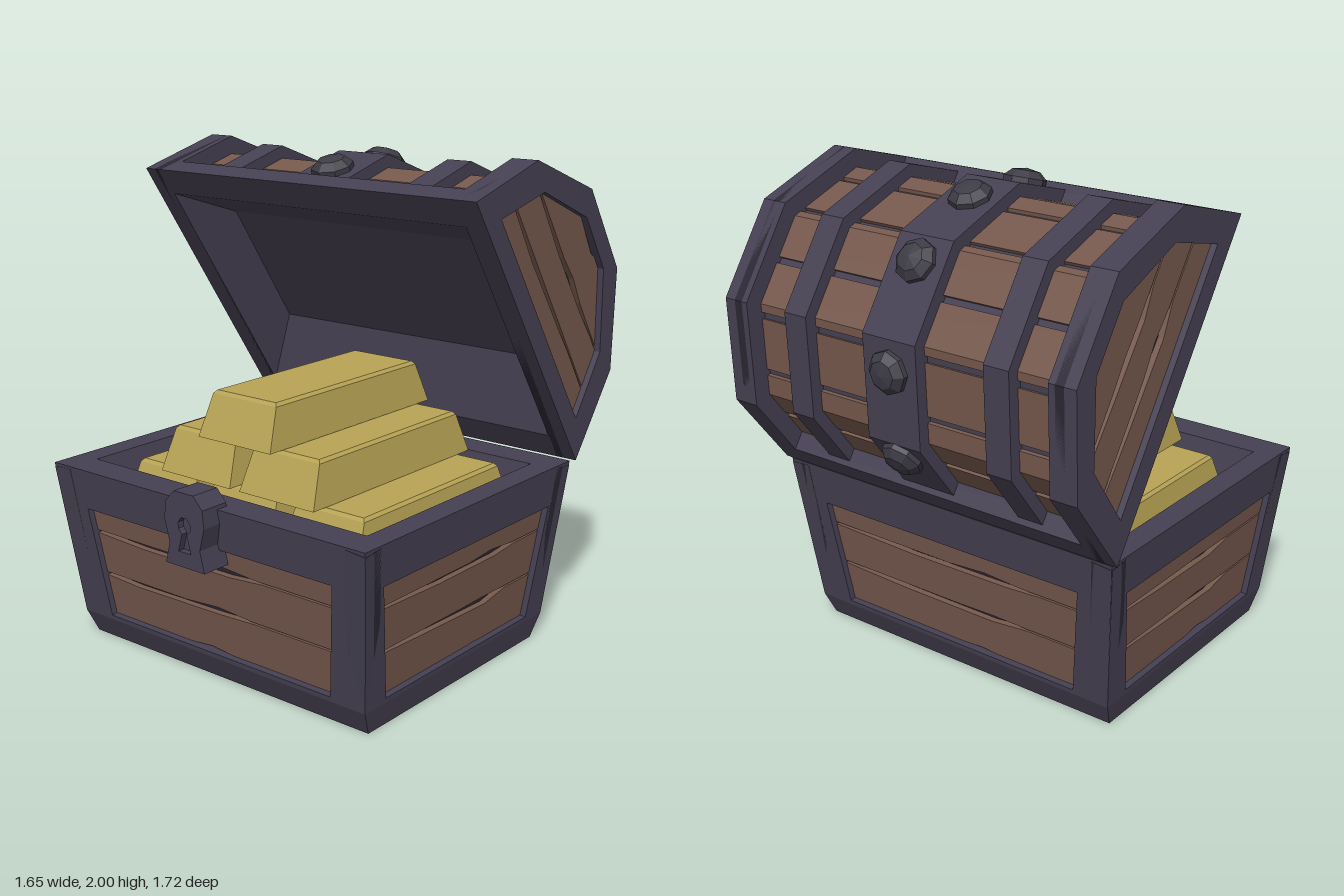
import * as THREE from 'three';

const paint = (color, extra = {}) => {
  const m = new THREE.MeshStandardMaterial({ color, flatShading: true, ...extra });
  return m;
};
const IRON = paint(0x454052), WOOD = paint(0x75584c), GOLD = paint(0xb8a455);
const STUD = paint(0x3d3b45), DARK = paint(0x2a2733);

let seed = 7;
const rand = () => (seed = (seed * 16807) % 2147483647) / 2147483647;
const lerp = THREE.MathUtils.lerp;

function add(parent, name, geometry, material) {
  const mesh = new THREE.Mesh(geometry, material);
  mesh.name = name;
  parent.add(mesh);
  return mesh;
}

const toShape = (pts) => new THREE.Shape(pts.map(([x, y]) => new THREE.Vector2(x, y)));
const mirrored = (pts, cx = 0) => [...pts, ...pts.slice().reverse().map(([x, y]) => [2 * cx - x, y])];

// Flat outline with optional hole, from z0 to z1
function slab(pts, z0, z1, hole) {
  const shape = toShape(pts);
  if (hole) shape.holes.push(toShape(hole));
  return new THREE.ExtrudeGeometry(shape, { depth: z1 - z0, bevelEnabled: false }).translate(0, 0, z0);
}

// Cross-section given as [z, y], swept across x
const sweepX = (pts, x0, x1) => slab(pts, 0, x1 - x0).rotateY(-Math.PI / 2).translate(x1, 0, 0);

// Walls between rectangular rings [y, halfX, halfZ]; a zero-size ring makes a cap
function loft(rings) {
  const corners = rings.map(([y, x, z]) => [[x, y, z], [x, y, -z], [-x, y, -z], [-x, y, z]]);
  const pos = [];
  for (let r = 0; r < rings.length - 1; r++) {
    for (let i = 0; i < 4; i++) {
      const a = corners[r], b = corners[r + 1], j = (i + 1) % 4;
      pos.push(...a[i], ...a[j], ...b[j], ...a[i], ...b[j], ...b[i]);
    }
  }
  const g = new THREE.BufferGeometry();
  g.setAttribute('position', new THREE.Float32BufferAttribute(pos, 3));
  g.computeVertexNormals();
  return g;
}

// Iron frame around recessed planks, facing +z. half / holeHalf: right-hand side, bottom to top
function framedPanel(name, half, holeHalf, cuts) {
  const group = new THREE.Group();
  group.name = name;
  const outline = mirrored(half);
  add(group, name + 'Frame', slab(outline, -0.09, 0, mirrored(holeHalf)), IRON);
  add(group, name + 'Backing', slab(outline, -0.088, -0.05), DARK);
  const widthAt = (y) => {
    let i = 0;
    while (i < half.length - 2 && y > half[i + 1][1]) i++;
    const [[x0, y0], [x1, y1]] = [half[i], half[i + 1]];
    return lerp(x0, x1, (y - y0) / (y1 - y0)) - 0.06;
  };
  for (let k = 0; k < cuts.length - 1; k++) {
    const y0 = cuts[k] + 0.004, y1 = cuts[k + 1] - 0.004;
    const w0 = widthAt(y0), w1 = widthAt(y1), u = rand() * 0.4 - 0.3;
    // chipped lower and upper edges
    const pts = [[-w0, y0], [w0 * u, y0], [w0 * (u + 0.25), y0 + 0.018 * rand()], [w0 * (u + 0.5), y0], [w0, y0],
      [w1, y1], [w1 * (u + 0.6), y1], [w1 * (u + 0.35), y1 - 0.028 * rand()], [w1 * (u - 0.3), y1 - 0.015], [-w1, y1]];
    add(group, name + 'Plank', slab(pts, -0.05, -0.026), WOOD);
  }
  return group;
}

function createBase() {
  const base = new THREE.Group();
  base.name = 'base';
  add(base, 'foot', loft([[0, 0, 0], [0, 0.72, 0.545], [0.1, 0.74, 0.59]]), IRON);
  add(base, 'rimAndInside', loft([[0.72, 0.797, 0.668], [0.755, 0.80, 0.6725], [0.755, 0.70, 0.535],
    [0.57, 0.64, 0.49], [0.57, 0, 0]]), IRON);
  // four sloping walls
  const walls = [['frontWall', 0, 0.59, 0.125, 0.74, 0.80, 0.58, 0.635], ['backWall', 2, 0.59, 0.125, 0.74, 0.80, 0.58, 0.635],
    ['leftWall', 1, 0.74, 0.0914, 0.59, 0.6725, 0.47, 0.545], ['rightWall', 3, 0.74, 0.0914, 0.59, 0.6725, 0.47, 0.545]];
  for (const [name, turn, dist, tilt, w0, w1, h0, h1] of walls) {
    const wall = framedPanel(name, [[w0, 0], [w1, 0.64]], [[h0, 0.02], [h1, 0.49]], [0.01, 0.2, 0.385, 0.51]);
    const a = turn * Math.PI / 2;
    wall.rotation.set(tilt, a, 0, 'YXZ');
    wall.position.set(Math.sin(a) * dist, 0.1, Math.cos(a) * dist);
    base.add(wall);
  }
  return base;
}

// Lid arch in its own frame, as [z, y], front to back
const ARCH = [[0.682, 0], [0.55, 0.393], [0.207, 0.643], [-0.207, 0.643], [-0.55, 0.393], [-0.682, 0]];
const along = (t) => {
  const i = Math.min(4, Math.floor(t * 5)), f = t * 5 - i;
  return [0, 1].map((k) => lerp(ARCH[i][k], ARCH[i + 1][k], f));
};
// Curved strip of the arch between two scales and two fractions of its length
function archStrip(outer, inner, x0, x1, t0 = 0, t1 = 1) {
  const path = [along(t0), ...ARCH.filter((p, i) => i / 5 > t0 + 1e-6 && i / 5 < t1 - 1e-6), along(t1)];
  const scaled = (s) => path.map(([z, y]) => [z * s, y * s]);
  return sweepX([...scaled(outer), ...scaled(inner).reverse()], x0, x1);
}

function createLid() {
  const lid = new THREE.Group();
  lid.name = 'lid';
  add(lid, 'lidShell', archStrip(0.865, 0.83, -0.72, 0.72), IRON);
  // planks running across the arch
  for (let k = 0; k < 8; k++) {
    add(lid, 'lidPlank', archStrip(0.888, 0.85, -0.72, 0.72, k / 8 + 0.007, (k + 1) / 8 - 0.007), WOOD);
  }
  // iron bands
  for (const [x, w] of [[-0.475, 0.11], [0.01, 0.25], [0.475, 0.11]]) {
    add(lid, 'lidBand', archStrip(0.965, 0.86, x - w / 2, x + w / 2), IRON);
  }
  // ends and long lips
  for (const s of [-1, 1]) {
    const end = framedPanel('lidEnd', ARCH.slice(0, 3), [[0.525, 0.09], [0.42, 0.367], [0.135, 0.557]],
      [0.07, 0.215, 0.375, 0.575]);
    end.rotation.y = s * Math.PI / 2;
    end.position.x = s * 0.825;
    lid.add(end);
    add(lid, 'lidEndBand', archStrip(1, 0.86, s > 0 ? 0.71 : -0.74, s > 0 ? 0.74 : -0.71), IRON);
    const lip = [[0.682, 0], [0.65, 0.095], [0.56, 0.095], [0.555, 0]].map(([z, y]) => [s * z, y]);
    add(lid, 'lidLip', sweepX(lip, -0.735, 0.735), IRON);
  }
  // hollow underside
  add(lid, 'lidInside', loft([[0, 0.735, 0.555], [-0.187, 0.66, 0.307], [-0.187, 0, 0]]), IRON).rotation.z = Math.PI;
  // studs on the middle band
  const dome = [[0, 0], [0.085, 0], [0.085, 0.02], [0.055, 0.048], [0, 0.058]].map((p) => new THREE.Vector2(...p));
  const stud = new THREE.LatheGeometry(dome, 8);
  for (const t of [0.1, 0.27, 0.45, 0.66, 0.84]) {
    const i = Math.floor(t * 5), [z, y] = along(t);
    const dz = ARCH[i + 1][0] - ARCH[i][0], dy = ARCH[i + 1][1] - ARCH[i][1];
    const mesh = add(lid, 'stud', stud, STUD);
    mesh.position.set(0.01, y * 0.965, z * 0.965);
    mesh.rotation.x = Math.atan2(dy, -dz);
  }
  lid.position.set(0, 1.324, -0.176);
  lid.rotation.x = -0.974;
  return lid;
}

function createLock() {
  const lock = new THREE.Group();
  lock.name = 'lock';
  const plate = mirrored([[0.11, 0.525], [0.088, 0.61], [0.112, 0.70], [0.105, 0.77], [0.06, 0.818]], 0.01);
  const keyhole = mirrored([[0.042, 0.585], [0.022, 0.655], [0.04, 0.675], [0.04, 0.70], [0.024, 0.72]], 0.01);
  add(lock, 'lockBody', slab(plate, 0.74, 0.84), IRON);
  add(lock, 'lockPlate', slab(plate, 0.84, 0.867, keyhole), IRON);
  return lock;
}

// Pyramid of bars: three, two, one
function createGold() {
  const gold = new THREE.Group();
  gold.name = 'goldBars';
  const bar = loft([[0, 0, 0], [0, 0.185, 0.5], [0.165, 0.162, 0.437], [0.178, 0.15, 0.425], [0.178, 0, 0]]);
  for (let row = 0; row < 3; row++) {
    for (let i = 0; i < 3 - row; i++) {
      add(gold, 'goldBar', bar, GOLD).position.set((i - (2 - row) / 2) * 0.42 + 0.005, 0.575 + row * 0.18, 0.088);
    }
  }
  return gold;
}

export function createModel() {
  const chest = new THREE.Group();
  chest.name = 'treasureChest';
  const base = createBase();
  base.position.z = 0.118;
  chest.add(base, createLid(), createLock(), createGold());
  return chest;
}
